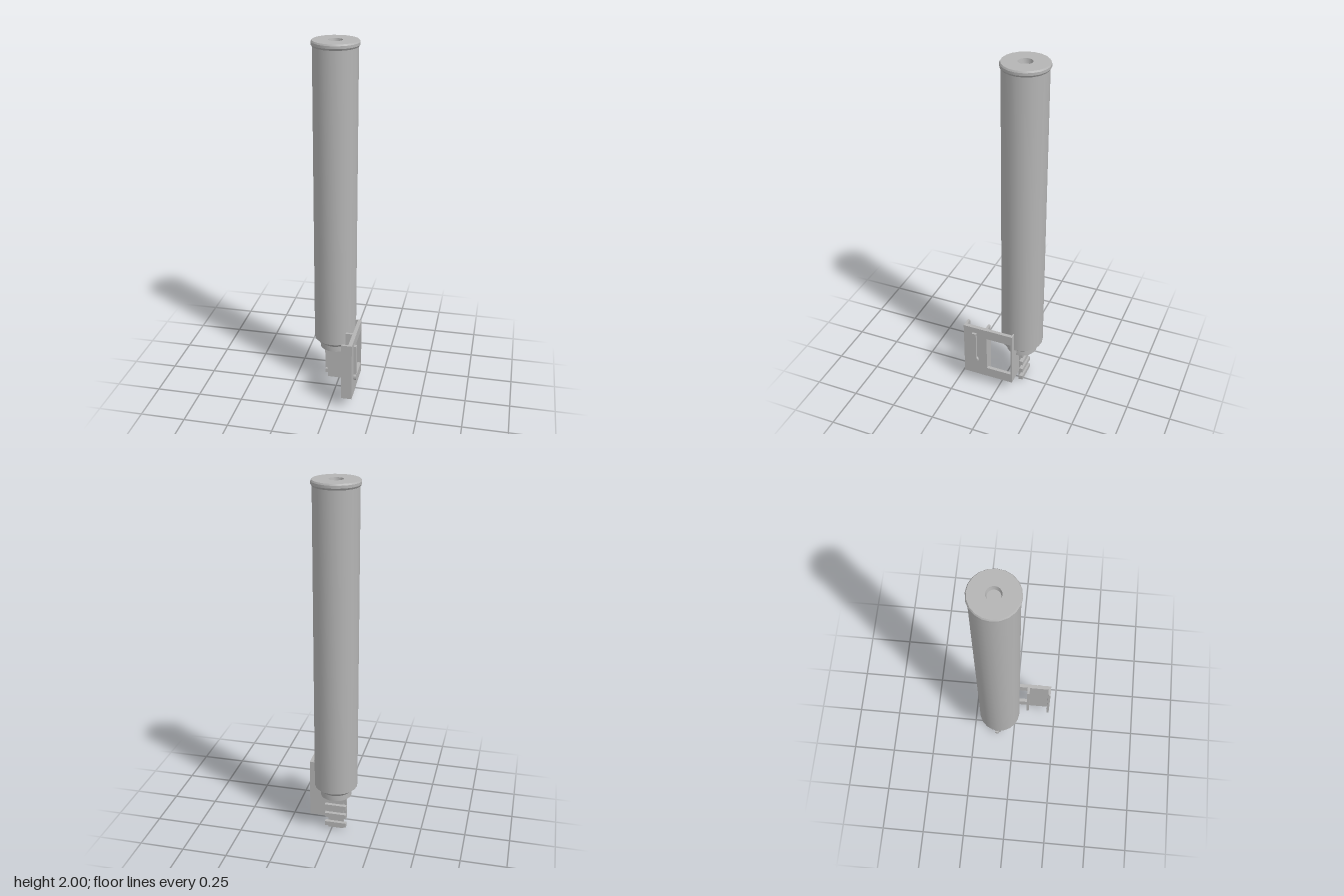
import * as THREE from 'three';
import { toCreasedNormals } from 'three/addons/utils/BufferGeometryUtils.js';

export function createModel() {
  const model = new THREE.Group();
  const grey = new THREE.MeshStandardMaterial({ color: 0xb4b4b4 });
  grey.name = 'plain grey';

  const add = (name, geometry) => {
    const mesh = new THREE.Mesh(geometry, grey);
    mesh.name = name;
    model.add(mesh);
    return mesh;
  };
  // Box given by its limits on each axis
  const box = (name, [x0, x1], [y0, y1], [z0, z1]) =>
    add(name, new THREE.BoxGeometry(x1 - x0, y1 - y0, z1 - z0))
      .position.set((x0 + x1) / 2, (y0 + y1) / 2, (z0 + z1) / 2);

  // Long tube: neck, shoulder, body, lip and recessed hole in the top
  const profile = [
    [0, 0.225], [0.087, 0.225], [0.087, 0.258], [0.092, 0.264], [0.12, 0.288],
    [0.12, 1.968], [0.127, 1.978], [0.127, 1.992], [0.122, 2],
    [0.038, 2], [0.033, 1.975], [0, 1.975],
  ].map(([r, y]) => new THREE.Vector2(r, y));
  add('tube', toCreasedNormals(new THREE.LatheGeometry(profile, 20), 0.5))
    .position.set(-0.022, 0, -0.089);

  // Bracket: plate behind, open side frame and solid side plate
  const height = [0.065, 0.405];
  const side = [0.111, 0.131];
  box('backPlate', [-0.082, 0.131], height, [-0.087, -0.079]);
  box('frameTopBar', side, [0.345, 0.405], [-0.08, 0.07]);
  box('frameBottomBar', side, [0.065, 0.125], [-0.08, 0.07]);
  box('sidePlate', [0.11, 0.132], height, [0.07, 0.212]);
  for (const z of [0.07, 0.198]) box('flange', [0.072, 0.11], height, [z, z + 0.014]);

  // Raised bar with a round end on the side plate
  box('gaugeBar', [0.131, 0.146], [0.18, 0.37], [0.131, 0.156]);
  const bulb = add('gaugeBulb', toCreasedNormals(new THREE.CylinderGeometry(0.022, 0.022, 0.016, 20), 0.5));
  bulb.rotation.z = -Math.PI / 2;
  bulb.position.set(0.139, 0.176, 0.143);

  // Tongue below the tube with a ladder of cross ribs on its back
  box('tongue', [-0.067, 0.021], [0, 0.225], [-0.097, -0.086]);
  for (let i = 0; i < 4; i++) {
    const y = 0.033 + i * 0.056;
    box('rib', [-0.084, 0.038], [y - 0.013, y + 0.013], [-0.117, -0.095]);
  }

  return model;
}
